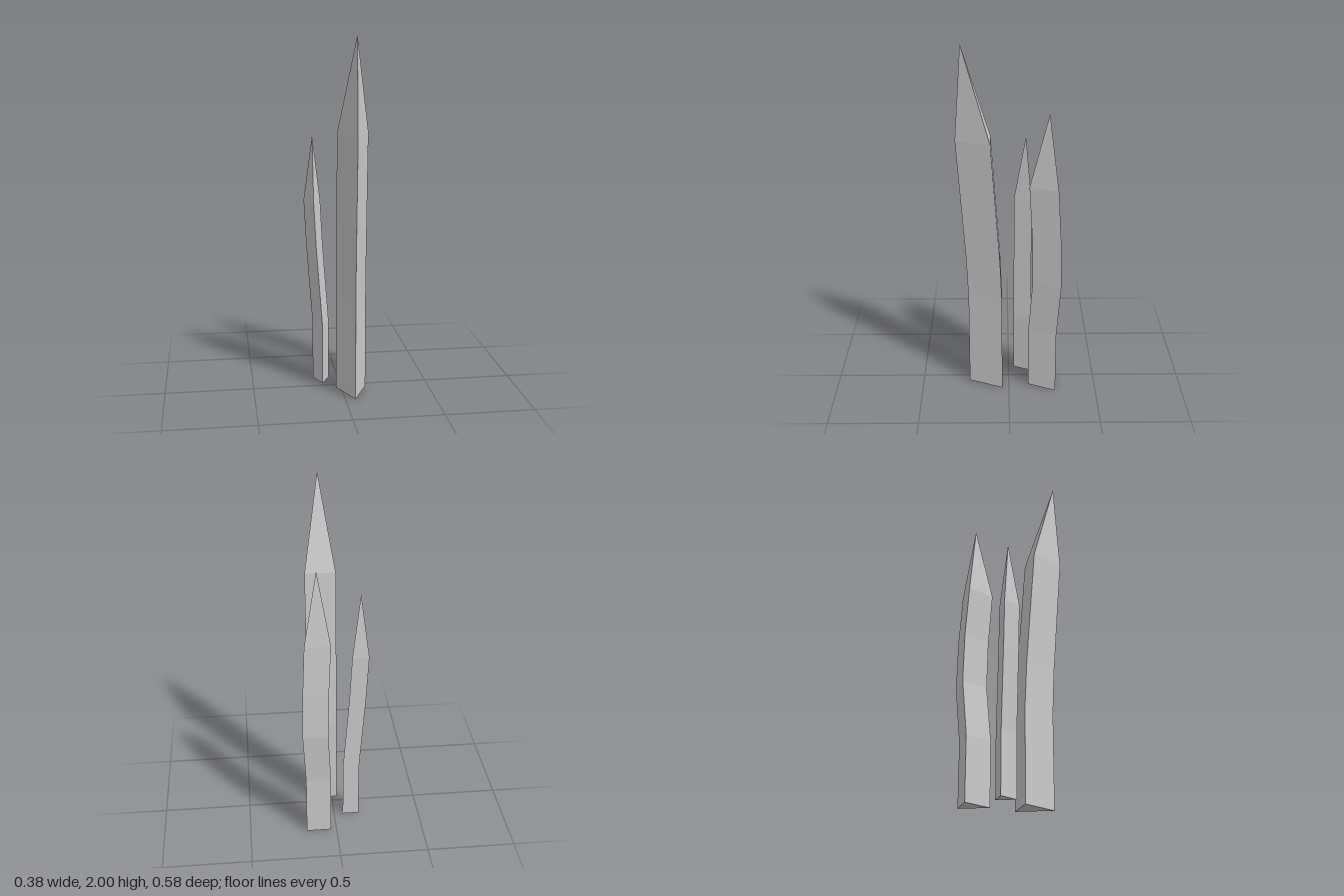
import * as THREE from 'three';

// A blade is a triangular prism: flat at the back, with a ridge to the front.
// Its section is swept up through rings [y, dx, dz] and closed to a point at the tip.
function makeBlade(name, { left, right, back, ridge, rings, tip }) {
  const section = [[left, back], [(left + right) / 2, ridge], [right, back]];
  const loops = rings.map(([y, dx, dz]) => section.map(([x, z]) => [x + dx, y, z + dz]));
  const positions = [];
  const triangle = (...corners) => corners.forEach((c) => positions.push(...c));

  // Side faces between neighbouring rings
  for (let i = 0; i < loops.length - 1; i++) {
    for (let j = 0; j < 3; j++) {
      const k = (j + 1) % 3;
      const [a, b, c, d] = [loops[i][j], loops[i][k], loops[i + 1][k], loops[i + 1][j]];
      triangle(a, b, c);
      triangle(a, c, d);
    }
  }
  // Pointed tip
  const top = loops[loops.length - 1];
  for (let j = 0; j < 3; j++) triangle(top[j], top[(j + 1) % 3], tip);
  // Flat base
  triangle(loops[0][0], loops[0][2], loops[0][1]);

  const geometry = new THREE.BufferGeometry();
  geometry.setAttribute('position', new THREE.Float32BufferAttribute(positions, 3));
  geometry.computeVertexNormals();
  const mesh = new THREE.Mesh(
    geometry,
    new THREE.MeshStandardMaterial({ color: 0xcccccc, flatShading: true })
  );
  mesh.name = name;
  return mesh;
}

export function createModel() {
  const group = new THREE.Group();
  group.name = 'grassBlades';

  // Tall blade, leaning forward
  group.add(makeBlade('tallBlade', {
    left: -0.03, right: 0.141, back: 0.038, ridge: 0.229,
    rings: [[0, 0, 0], [0.54, 0, 0], [0.8, 0, 0.011], [1.48, 0, 0.06]],
    tip: [0.055, 2, 0.253],
  }));

  // Middle blade, bowed backwards
  group.add(makeBlade('middleBlade', {
    left: 0.032, right: 0.174, back: -0.268, ridge: -0.112,
    rings: [[0, 0, 0], [0.36, 0, 0], [0.67, 0.017, -0.022], [0.94, 0.013, -0.017], [1.23, 0, 0]],
    tip: [0.103, 1.64, -0.217],
  }));

  // Short blade, leaning sideways
  group.add(makeBlade('shortBlade', {
    left: -0.145, right: -0.051, back: -0.131, ridge: -0.031,
    rings: [[0, 0, 0], [0.35, 0, 0], [0.8, -0.033, 0], [1.07, -0.047, 0]],
    tip: [-0.145, 1.44, -0.098],
  }));

  return group;
}
